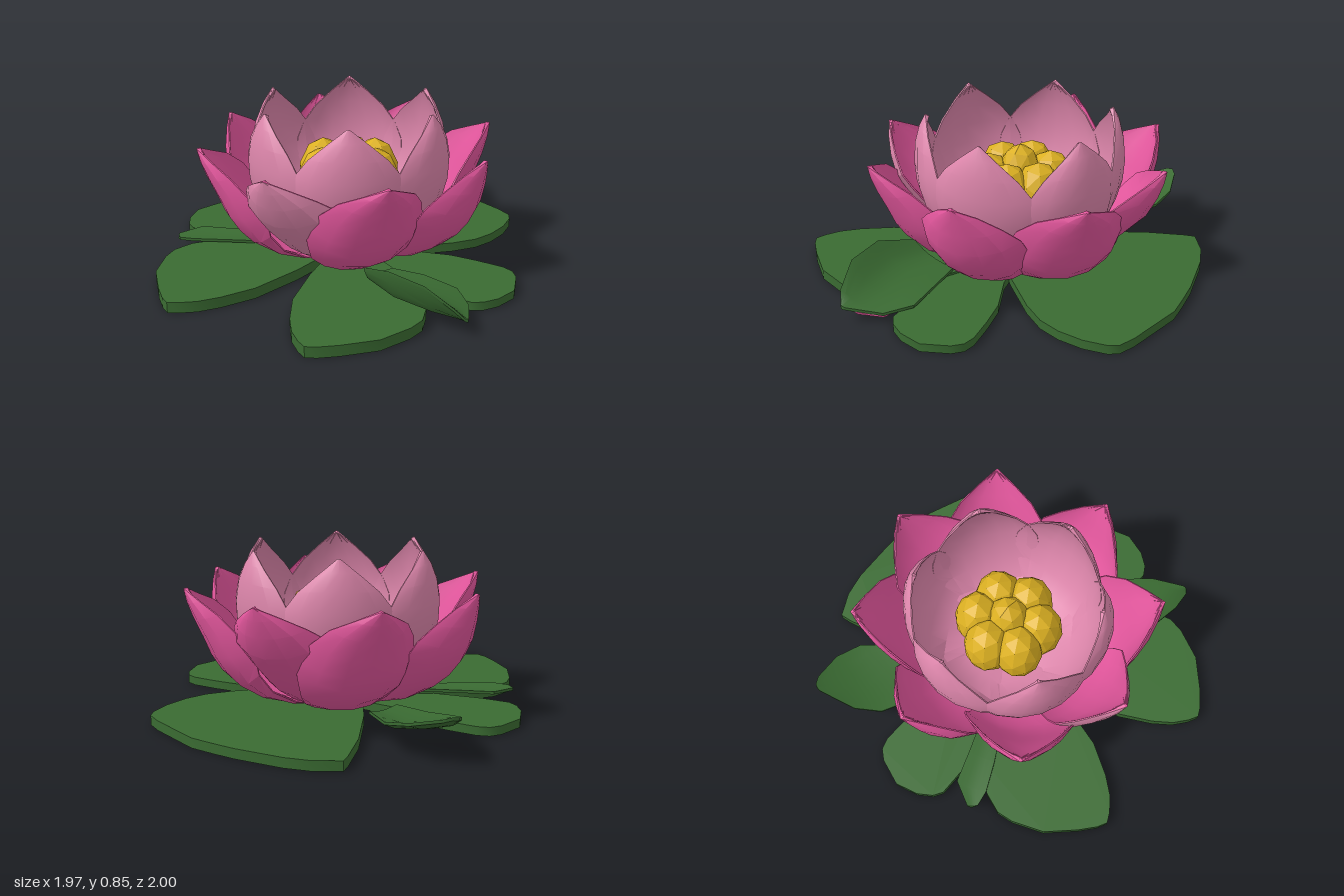
import * as THREE from 'three';
import { toCreasedNormals } from 'three/addons/utils/BufferGeometryUtils.js';

const mat = (name, color) => Object.assign(new THREE.MeshStandardMaterial({ color }), { name });
const V = (x, y, z) => new THREE.Vector3(x, y, z);

// Closed shell between two point grids; groups: 0 outer face, 1 rim, 2 inner face
function shell(outer, inner, crease) {
  const pos = [];
  const tri = (...pts) => pts.forEach((p) => pos.push(p.x, p.y, p.z));
  const n = outer.length - 1, m = outer[0].length - 1;
  const loop = [];
  for (let j = 0; j < m; j++) loop.push([0, j]);
  for (let i = 0; i < n; i++) loop.push([i, m]);
  for (let j = m; j > 0; j--) loop.push([n, j]);
  for (let i = n; i > 0; i--) loop.push([i, 0]);
  const face = (g, flip) => {
    for (let i = 0; i < n; i++) for (let j = 0; j < m; j++) {
      const a = g[i][j], b = g[i][j + 1], c = g[i + 1][j + 1], d = g[i + 1][j];
      if (flip) { tri(a, c, b); tri(a, d, c); } else { tri(a, b, c); tri(a, c, d); }
    }
  };
  face(outer, false);
  const rimStart = pos.length / 3;
  loop.forEach(([i, j], k) => {
    const [i2, j2] = loop[(k + 1) % loop.length];
    const p = outer[i][j], q = outer[i2][j2], p2 = inner[i][j], q2 = inner[i2][j2];
    tri(q, p, p2);
    tri(q, p2, q2);
  });
  const innerStart = pos.length / 3;
  face(inner, true);
  const geo = new THREE.BufferGeometry();
  geo.setAttribute('position', new THREE.Float32BufferAttribute(pos, 3));
  geo.addGroup(0, rimStart, 0);
  geo.addGroup(rimStart, innerStart - rimStart, 1);
  geo.addGroup(innerStart, pos.length / 3 - innerStart, 2);
  geo.computeVertexNormals();
  return toCreasedNormals(geo, crease);
}

// Cupped petal facing +z; profile points are (radius, height, half width), fill flattens the inside
function petalGeometry(profile, bend, thickness, fill) {
  const curve = new THREE.CatmullRomCurve3(profile.map((p) => V(...p)));
  const rows = 9, cols = 6, outer = [], inner = [];
  for (let i = 0; i <= rows; i++) {
    const t = i / rows;
    const p = curve.getPoint(t), d = curve.getTangent(t);
    const len = Math.hypot(d.x, d.y);
    const nr = -d.y / len, ny = d.x / len;
    const w = Math.max(p.z, 0.006);
    const cup = Math.min(1, 0.15 + t * 2) * w / Math.sin(bend);
    const edge = cup * (1 - Math.cos(bend));
    const row = [], back = [];
    for (let j = 0; j <= cols; j++) {
      const u = j / cols * 2 - 1;
      const a = u * bend;
      const depth = cup * (1 - Math.cos(a));
      const x = w * Math.sin(a) / Math.sin(bend);
      const e = depth + (edge - depth) * fill + thickness * (1 - 0.75 * u * u);
      row.push(V(x, p.y + ny * depth, p.x + nr * depth));
      back.push(V(x * 0.98, p.y + ny * e, p.x + nr * e));
    }
    outer.push(row);
    inner.push(back);
  }
  return shell(outer, inner, 0.45);
}

export function createModel() {
  const magenta = mat('deepPink', 0xe2569c);
  const pink = mat('palePink', 0xdd86ab);
  const green = mat('leafGreen', 0x3a6b32);
  const yellow = mat('stamenYellow', 0xdcb022);
  const model = new THREE.Group();
  model.name = 'waterLily';
  const add = (name, geo, material, parent = model) => {
    const mesh = new THREE.Mesh(geo, material);
    mesh.name = name;
    parent.add(mesh);
    return mesh;
  };

  const flower = new THREE.Group();
  flower.name = 'flower';
  flower.position.z = -0.05;
  model.add(flower);

  // Outer ring of eight petals: front and back tucked in, sides in front, diagonals between
  const outerPetal = (profile) => petalGeometry(profile, 1.1, 0.022, 0.3);
  const frontBack = outerPetal([
    [0.08, 0.06, 0.07], [0.28, 0.08, 0.14], [0.45, 0.17, 0.2], [0.57, 0.28, 0.25],
    [0.69, 0.41, 0.265], [0.76, 0.57, 0.15], [0.78, 0.67, 0],
  ]);
  const side = outerPetal([
    [0.08, 0.06, 0.08], [0.36, 0.08, 0.17], [0.55, 0.175, 0.24], [0.665, 0.285, 0.275],
    [0.73, 0.41, 0.265], [0.765, 0.57, 0.15], [0.78, 0.67, 0],
  ]);
  const diagonal = outerPetal([
    [0.08, 0.06, 0.1], [0.35, 0.08, 0.22], [0.54, 0.175, 0.285], [0.64, 0.285, 0.3],
    [0.7, 0.42, 0.265], [0.765, 0.57, 0.15], [0.79, 0.67, 0],
  ]);
  for (const s of [1, -1]) {
    add('outerPetal', frontBack, [s > 0 ? pink : magenta, magenta, magenta], flower).rotation.y = s > 0 ? 0 : Math.PI;
    add('outerPetal', side, [magenta, magenta, magenta], flower).rotation.y = s * Math.PI / 2;
    for (const f of [1, -1]) {
      const petal = add('outerPetal', diagonal, [magenta, magenta, magenta], flower);
      petal.rotation.y = Math.atan2(s * 0.766, f * 0.643);
      petal.position.set(-0.055 * s, 0, 0.067 * f);
    }
  }

  // Inner cup of six petals
  const innerGeo = petalGeometry([
    [0.06, 0.09, 0.08], [0.3, 0.13, 0.2], [0.45, 0.27, 0.28], [0.525, 0.44, 0.305],
    [0.545, 0.6, 0.265], [0.525, 0.76, 0.15], [0.48, 0.86, 0],
  ], 0.82, 0.025, 0.1);
  for (let k = 0; k < 6; k++) {
    add('innerPetal', innerGeo, [pink, pink, pink], flower).rotation.y = Math.PI / 6 + k * Math.PI / 3;
  }

  // Faceted, lumpy stamen cluster
  const lump = new THREE.IcosahedronGeometry(1, 1);
  lump.computeVertexNormals();
  const stamen = (x, y, z, r, h) => {
    const s = add('stamen', lump, yellow, flower);
    s.position.set(x, y, z);
    s.scale.set(r, h, r);
    s.rotation.y = Math.atan2(x, z);
  };
  for (let k = 0; k < 6; k++) {
    const a = k * Math.PI / 3;
    stamen(0.16 * Math.cos(a), 0.43, 0.16 * Math.sin(a), 0.13, 0.2);
  }
  stamen(0, 0.46, 0, 0.12, 0.215);
  const core = add('stamenBase', new THREE.CylinderGeometry(0.2, 0.12, 0.32, 12), yellow, flower);
  core.position.y = 0.29;

  // Flat lily pads, outlined as x and z from the centre outward
  const pad = (name, pts, y, height, flip = 1) => {
    const outline = new THREE.Shape(pts.map(([x, z]) => new THREE.Vector2(flip * x, -z)));
    const geo = new THREE.ExtrudeGeometry(outline, { depth: height, bevelEnabled: false });
    geo.rotateX(-Math.PI / 2).translate(0, y, 0);
    add(name, toCreasedNormals(geo, 0.6), green);
  };
  pad('backPad', [
    [0.12, 0], [0.3, -0.13], [0.5, -0.31], [0.59, -0.42], [0.635, -0.53], [0.655, -0.66],
    [0.645, -0.78], [0.62, -0.83], [0.54, -0.875], [0.25, -0.985], [0.12, -0.995], [0, -1],
    [-0.25, -0.985], [-0.38, -0.955], [-0.5, -0.89], [-0.49, -0.83], [-0.43, -0.62],
    [-0.3, -0.32], [-0.12, 0],
  ], 0.013, 0.05);
  for (const flip of [1, -1]) {
    pad('sidePad', [
      [0, -0.1], [0.35, -0.12], [0.55, -0.18], [0.7, -0.19], [0.84, -0.19], [0.9, -0.17], [0.94, -0.12],
      [0.985, 0.02], [0.95, 0.14], [0.9, 0.21], [0.85, 0.24], [0.7, 0.235], [0.5, 0.2], [0, 0.1],
    ], 0.013, 0.045, flip);
    pad('frontPad', [
      [0, 0.12], [0.04, 0.4], [0.11, 0.67], [0.2, 0.83], [0.27, 0.92], [0.34, 0.975], [0.39, 1],
      [0.44, 0.975], [0.52, 0.91], [0.65, 0.78], [0.72, 0.62], [0.735, 0.53], [0.7, 0.42],
      [0.58, 0.28], [0.35, 0.12], [0.1, 0],
    ], 0.013, 0.057, flip);
  }
  const crown = add('padCentre', new THREE.CylinderGeometry(0.2, 0.2, 0.05, 20), green);
  crown.position.y = 0.037;

  // Raised, tilted small leaves: rows from base to tip, three underside points across
  const leaf = (name, underMaterial, topMaterial, rows, thickness = 0.015) => {
    const under = rows.map((row) => new THREE.CatmullRomCurve3(row.map((p) => V(...p))).getPoints(6));
    const top = under.map((row) => row.map((p, j) => {
      const chord = row[0].clone().lerp(row[6], j / 6);
      return chord.lerp(p, 0.5).add(V(0, thickness, 0));
    }));
    add(name, shell(under, top, 0.6), [underMaterial, topMaterial, topMaterial]);
  };
  leaf('rightFrontLeaf', green, green, [
    [[0.35, 0.17, 0.4], [0.35, 0.09, 0.34], [0.38, 0.07, 0.16]],
    [[0.54, 0.24, 0.5], [0.54, 0.1, 0.45], [0.56, 0.08, 0.16]],
    [[0.74, 0.23, 0.53], [0.75, 0.09, 0.47], [0.75, 0.065, 0.18]],
    [[0.88, 0.145, 0.51], [0.88, 0.085, 0.46], [0.86, 0.055, 0.29]],
    [[0.925, 0.095, 0.485], [0.935, 0.09, 0.475], [0.93, 0.085, 0.455]],
  ]);
  leaf('rightLeafUnderside', magenta, magenta, [
    [[0.7, 0.055, 0.36], [0.72, 0.05, 0.3], [0.74, 0.045, 0.24]],
    [[0.84, 0.05, 0.4], [0.85, 0.045, 0.34], [0.85, 0.04, 0.29]],
    [[0.91, 0.075, 0.42], [0.91, 0.07, 0.41], [0.91, 0.065, 0.4]],
  ], 0.009);
  leaf('leftBackLeaf', green, green, [
    [[-0.4, 0.13, -0.46], [-0.4, 0.08, -0.34], [-0.42, 0.09, -0.2]],
    [[-0.57, 0.16, -0.64], [-0.57, 0.09, -0.47], [-0.6, 0.09, -0.23]],
    [[-0.71, 0.19, -0.68], [-0.73, 0.13, -0.52], [-0.76, 0.12, -0.3]],
    [[-0.86, 0.225, -0.66], [-0.86, 0.18, -0.56], [-0.85, 0.16, -0.41]],
    [[-0.9, 0.235, -0.635], [-0.91, 0.23, -0.62], [-0.91, 0.225, -0.595]],
  ]);
  leaf('leftFrontLeaf', magenta, green, [
    [[-0.35, 0.08, 0.1], [-0.35, 0.07, 0.16], [-0.35, 0.07, 0.22]],
    [[-0.6, 0.08, 0.2], [-0.58, 0.065, 0.27], [-0.55, 0.08, 0.34]],
    [[-0.76, 0.08, 0.26], [-0.74, 0.065, 0.34], [-0.7, 0.08, 0.415]],
    [[-0.82, 0.075, 0.39], [-0.81, 0.07, 0.41], [-0.78, 0.075, 0.43]],
  ]);
  return model;
}
